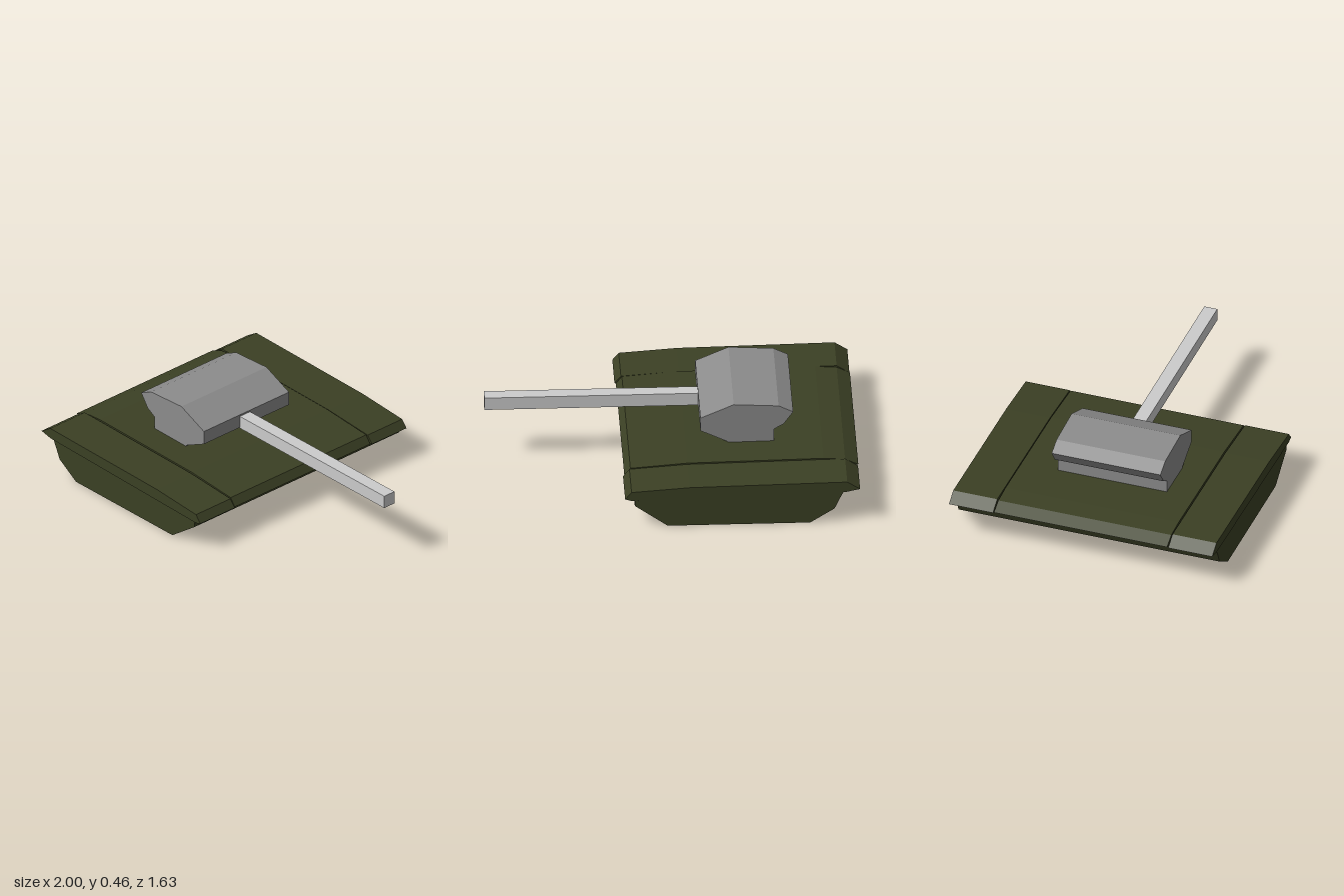
import * as THREE from 'three';

const material = (name, color) => {
  const m = new THREE.MeshStandardMaterial({ color });
  m.name = name;
  return m;
};

// Side profile [forward, up], extruded across the vehicle from z0 to z1
function slab(name, profile, z0, z1, mat) {
  const shape = new THREE.Shape(profile.map(([x, y]) => new THREE.Vector2(x, y)));
  const geo = new THREE.ExtrudeGeometry(shape, { depth: z1 - z0, bevelEnabled: false });
  geo.translate(0, 0, z0);
  const mesh = new THREE.Mesh(geo, mat);
  mesh.name = name;
  return mesh;
}

export function createModel() {
  const green = material('olive green', 0x3b4024);
  const grey = material('turret grey', 0x8c8c8c);
  const pale = material('barrel grey', 0xcccccc);

  const tank = new THREE.Group();
  tank.name = 'tank';
  const mid = 0.046; // centre line of the hull

  // Lower hull: raked front and rear, with a small recess under the deck
  tank.add(slab('lowerHull', [
    [-0.62, 0], [0.114, 0], [0.283, 0.122], [0.283, 0.15], [0.265, 0.152],
    [0.265, 0.17], [-0.795, 0.185], [-0.775, 0.145], [-0.745, 0.08],
  ], mid - 0.712, mid + 0.712, green));

  // Deck between the fenders
  tank.add(slab('deck', [
    [-0.878, 0.2], [-0.8, 0.18], [0.295, 0.155], [0.326, 0.165],
    [0.295, 0.207], [0, 0.23], [-0.7, 0.24], [-0.81, 0.232],
  ], mid - 0.472, mid + 0.472, green));

  // Fenders over the tracks
  const fender = [
    [-0.876, 0.195], [-0.805, 0.18], [0.3, 0.155], [0.333, 0.165],
    [0.3, 0.205], [0, 0.226], [-0.81, 0.238],
  ];
  tank.add(slab('leftFender', fender, mid + 0.478, mid + 0.718, green));
  tank.add(slab('rightFender', fender, mid - 0.718, mid - 0.478, green));

  // Turret with overhanging front and rear
  tank.add(slab('turret', [
    [-0.452, 0.225], [-0.213, 0.225], [-0.213, 0.238], [-0.075, 0.305], [-0.075, 0.38],
    [-0.246, 0.455], [-0.477, 0.442], [-0.552, 0.405], [-0.503, 0.335], [-0.452, 0.305],
  ], -0.227, 0.366, grey));

  // Square gun barrel
  const barrel = new THREE.Mesh(new THREE.BoxGeometry(1.14, 0.07, 0.071), pale);
  barrel.name = 'gunBarrel';
  barrel.position.set(0.454, 0.336, 0.08);
  tank.add(barrel);

  // The whole vehicle stands at a slight angle
  tank.rotation.y = -0.183;
  const model = new THREE.Group();
  model.add(tank);
  return model;
}
